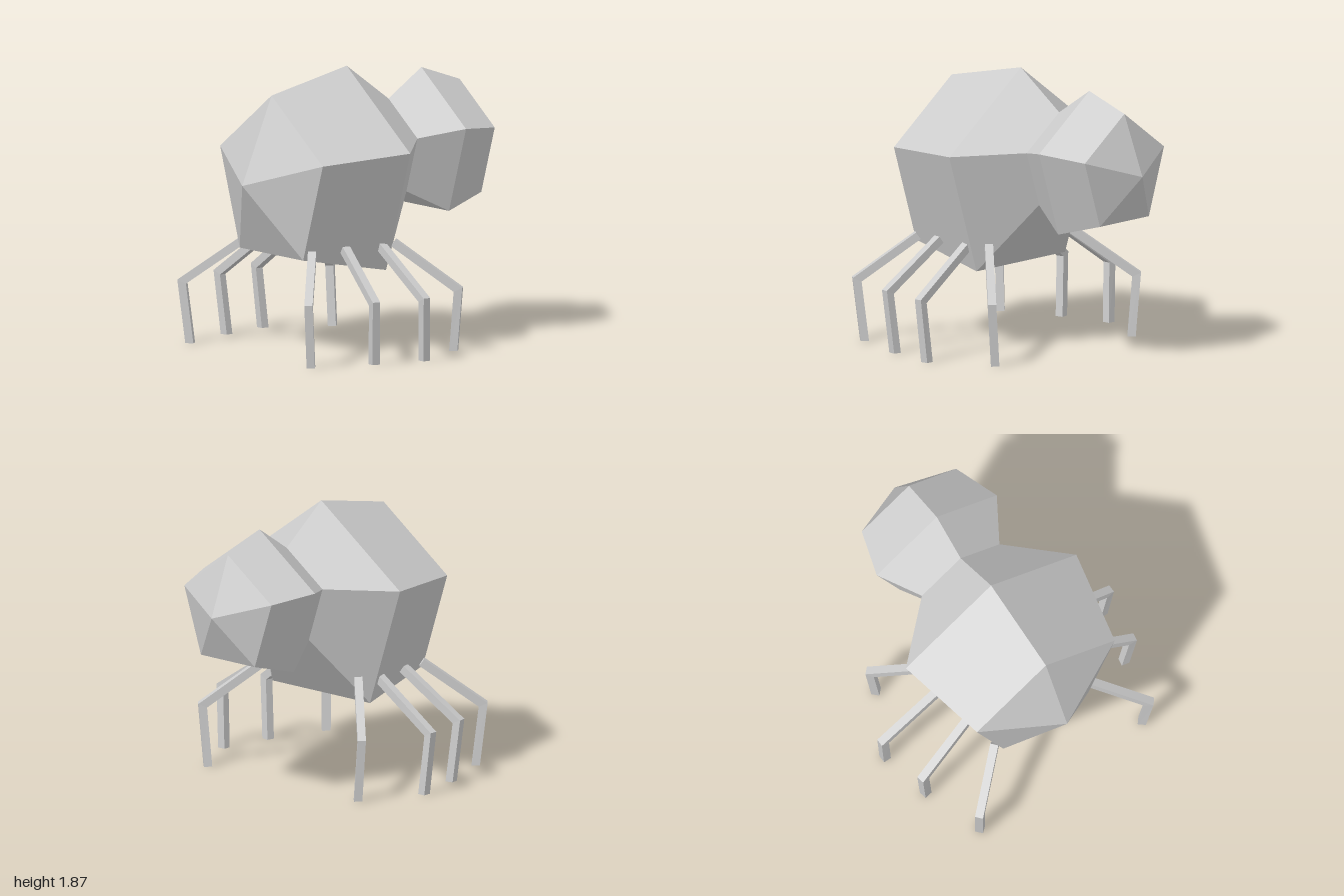
import * as THREE from 'three';

// Skins a row of rings (arrays of Vector3); optional tips close the two ends.
function loft(rings, startTip, endTip) {
  const pos = [];
  const tri = (...pts) => pts.forEach((p) => pos.push(p.x, p.y, p.z));
  const n = rings[0].length;
  const last = rings[rings.length - 1];
  for (let j = 0; j < n; j++) {
    const k = (j + 1) % n;
    for (let i = 0; i < rings.length - 1; i++) {
      const r = rings[i], q = rings[i + 1];
      tri(r[j], r[k], q[k]);
      tri(r[j], q[k], q[j]);
    }
    if (startTip) tri(startTip, rings[0][k], rings[0][j]);
    if (endTip) tri(endTip, last[j], last[k]);
  }
  const geo = new THREE.BufferGeometry();
  geo.setAttribute('position', new THREE.Float32BufferAttribute(pos, 3));
  geo.computeVertexNormals();
  return geo;
}

// Upright pentagon ring across the body axis.
function pentagon([x, centreY, radius]) {
  return Array.from({ length: 5 }, (_, i) => {
    const t = (i / 5) * Math.PI * 2;
    return new THREE.Vector3(x, centreY + radius * Math.cos(t), radius * Math.sin(t));
  });
}

// Square-section leg with a mitred knee and a flat foot.
function legGeometry(hip, knee, foot) {
  const h = 0.0275;
  const up = new THREE.Vector3(0, 1, 0);
  const radial = knee.clone().sub(hip).setY(0).normalize();
  const side = radial.clone().cross(up);
  const outer = (a, b) => {
    const d = b.clone().sub(a);
    return radial.clone().multiplyScalar(-d.y).addScaledVector(up, d.dot(radial)).normalize();
  };
  const n1 = outer(hip, knee), n2 = outer(knee, foot);
  const mitre = n1.clone().add(n2).divideScalar(1 + n1.dot(n2));
  const ring = (c, n) => [[1, 1], [-1, 1], [-1, -1], [1, -1]].map(([a, b]) =>
    c.clone().addScaledVector(n, a * h).addScaledVector(side, b * h));
  return loft([ring(hip, n1), ring(knee, mitre), ring(foot, radial)], hip, foot);
}

export function createModel() {
  const group = new THREE.Group();
  const grey = new THREE.MeshStandardMaterial({ color: 0xcccccc, flatShading: true });
  grey.name = 'light grey';
  const add = (name, geo) => {
    const mesh = new THREE.Mesh(geo, grey);
    mesh.name = name;
    group.add(mesh);
  };

  // Abdomen and head share the neck ring: [x, centre y, radius]
  const neck = [0.235, 1.283, 0.332];
  add('abdomen', loft([[-0.745, 1.14, 0.59], [-0.115, 1.14, 0.73], neck].map(pentagon),
    new THREE.Vector3(-0.99, 1.145, 0), null));
  add('head', loft([neck, [0.51, 1.286, 0.514], [0.83, 1.286, 0.404]].map(pentagon),
    null, new THREE.Vector3(0.995, 1.285, 0)));

  // Legs, mirrored in z: hip, knee, foot
  const legs = [
    [[-0.695, 0.705, 0.38], [-0.962, 0.415, 0.69], [-0.92, 0, 0.66]],
    [[-0.457, 0.72, 0.43], [-0.531, 0.415, 0.847], [-0.503, 0, 0.807]],
    [[-0.176, 0.725, 0.45], [-0.167, 0.415, 0.916], [-0.142, 0, 0.882]],
    [[-0.03, 0.725, 0.4], [0.282, 0.415, 0.702], [0.273, 0, 0.662]],
  ];
  legs.forEach((points, i) => {
    for (const s of [1, -1]) {
      const [hip, knee, foot] = points.map(([x, y, z]) => new THREE.Vector3(x, y, z * s));
      add(`${s > 0 ? 'near' : 'far'}Leg${i + 1}`, legGeometry(hip, knee, foot));
    }
  });

  return group;
}
